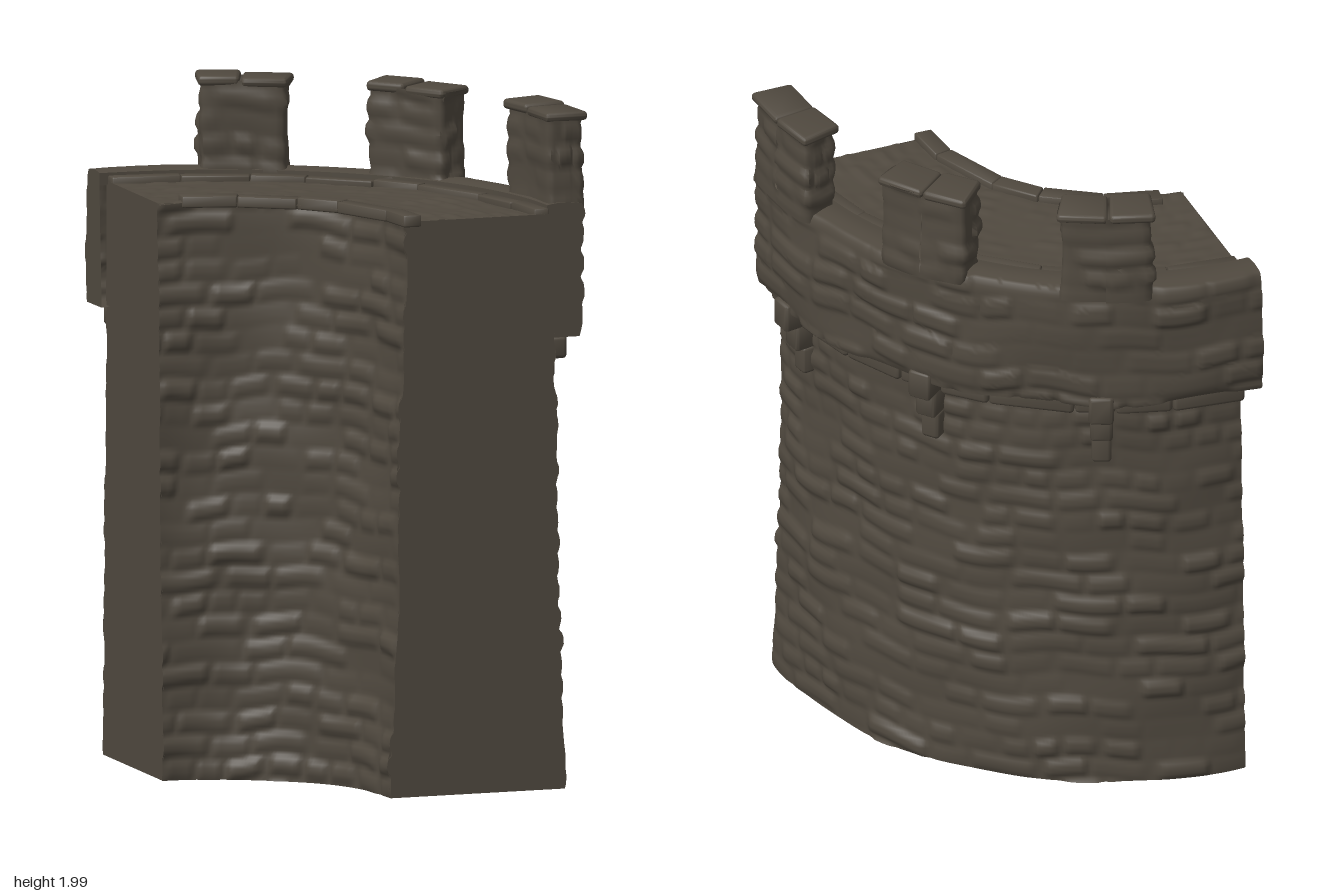
import * as THREE from 'three';
import { mergeGeometries, mergeVertices, toCreasedNormals } from 'three/addons/utils/BufferGeometryUtils.js';
import { RoundedBoxGeometry } from 'three/addons/geometries/RoundedBoxGeometry.js';

// The tower is a quarter ring around this axis; angles run from +x towards -z
const CX = -0.55, CZ = 0.545;
const RAD = Math.PI / 180;
const TOP = 1.7;

const hash = (a, b = 0) => {
  const s = Math.sin(a * 127.1 + b * 311.7) * 43758.5453;
  return s - Math.floor(s);
};
const lerp = THREE.MathUtils.lerp;
const smooth = THREE.MathUtils.smoothstep;

// Soft relief of worn, uneven masonry: s runs along the wall, y across the courses
function masonry(s, y, seed, width = 0.13, height = 0.07) {
  y += 0.01 * Math.sin(s * 9 + seed) + 0.006 * Math.sin(s * 21 + y * 5);
  const row = Math.floor(y / height);
  const w = width * (0.7 + 0.7 * hash(row, seed));
  const t = s / w + hash(row, seed + 3) + 0.15 * Math.sin(s * 17 + row * 2);
  const col = Math.floor(t);
  const dx = Math.min(t - col, 1 - t + col) * w;
  const dy = Math.min(y / height - row, 1 - y / height + row) * height;
  const bulge = smooth(dx, 0, 0.024) * smooth(dy, 0, 0.024);
  const drift = 0.004 * Math.sin(s * 13 + seed + y * 7) + 0.003 * Math.sin(y * 19 - s * 8);
  return bulge * 0.014 * hash(col * 1.7 + seed, row) + drift - 0.003;
}

// Radii of the three stone faces
const outerRadius = (a, y) => lerp(1.04, 1.014, smooth(y, 0, 1.1)) + 0.008 * Math.cos(a) + masonry(a, y, 1);
const innerRadius = (a, y) => lerp(0.516, 0.56, y / TOP) - masonry(a * 0.55, y, 7);
const parapetRadius = (a, y) => 1.102 + 0.008 * Math.cos(a) + masonry(a * 1.1, Math.min(y, 1.69), 13, 0.15, 0.08);

// Curved grid: fn(angle, v) returns [radius, y]
function sweep(a0, a1, nu, nv, fn, flip = false) {
  const pos = [], idx = [];
  for (let j = 0; j <= nv; j++) {
    for (let i = 0; i <= nu; i++) {
      const a = lerp(a0, a1, i / nu) * RAD;
      const [r, y] = fn(a, j / nv);
      pos.push(CX + r * Math.cos(a), y, CZ - r * Math.sin(a));
      if (i < nu && j < nv) {
        const p = j * (nu + 1) + i, q = p + nu + 1;
        if (flip) idx.push(p, q, p + 1, p + 1, q, q + 1);
        else idx.push(p, p + 1, q, p + 1, q + 1, q);
      }
    }
  }
  const g = new THREE.BufferGeometry();
  g.setAttribute('position', new THREE.Float32BufferAttribute(pos, 3));
  g.setIndex(idx);
  g.computeVertexNormals();
  return g;
}

// Flat end face standing on the plane of one angle, from [radius, y] points
function endFace(deg, points) {
  const shape = new THREE.Shape(points.map(([r, y]) => new THREE.Vector2(r, y)));
  return new THREE.ShapeGeometry(shape).rotateY(deg * RAD).translate(CX, 0, CZ);
}

// Rounded stone bent along the ring
function stone(r0, r1, a0, a1, y0, y1, radius = 0.012) {
  const rm = (r0 + r1) / 2, am = (a0 + a1) / 2 * RAD, arc = (a1 - a0) * RAD * rm;
  let g = new RoundedBoxGeometry(r1 - r0, y1 - y0, arc, 2, Math.min(radius, (y1 - y0) * 0.45));
  g.deleteAttribute('uv');
  g.deleteAttribute('normal');
  g = mergeVertices(g);
  const p = g.attributes.position;
  for (let i = 0; i < p.count; i++) {
    const r = rm + p.getX(i), a = am - p.getZ(i) / rm;
    p.setXYZ(i, CX + r * Math.cos(a), (y0 + y1) / 2 + p.getY(i), CZ - r * Math.sin(a));
  }
  return toCreasedNormals(g, 0.7);
}

// Row of stones with uneven lengths and slightly uneven faces
function stoneRow(r0, r1, a0, a1, y0, y1, count, seed, rough = 0.008, radius = 0.012) {
  const cut = i => lerp(a0, a1, (i + (i > 0 && i < count ? (hash(i, seed) - 0.5) * 0.5 : 0)) / count);
  return Array.from({ length: count }, (_, i) => {
    const k = (hash(i, seed + 5) - 0.5) * rough;
    return stone(r0 + k, r1 + k, cut(i) + 0.05, cut(i + 1) - 0.05, y0, y1 + k * 0.5, radius);
  });
}

// Merlon body: closed sweep with soft corners and the same worn relief on every side
function merlonBody(a0, a1, seed) {
  const mid = (a0 + a1) / 2 * RAD, half = (a1 - a0) / 2 * RAD * 1.06;
  const pos = [], idx = [], nu = 56, nv = 20;
  for (let j = 0; j <= nv; j++) {
    for (let i = 0; i <= nu; i++) {
      const t = i / nu * Math.PI * 2, y = lerp(1.7, 1.985, j / nv);
      const c = Math.cos(t), s = Math.sin(t);
      const k = Math.pow(Math.pow(Math.abs(c), 10) + Math.pow(Math.abs(s), 10), -0.1);
      const swell = masonry(i / nu * 0.84, y, seed, 0.14, 0.07);
      const r = 1.061 + c * (k * 0.058 + swell), a = mid + (s * (k * half + swell)) / 1.06;
      pos.push(CX + r * Math.cos(a), y, CZ - r * Math.sin(a));
      if (i < nu && j < nv) {
        const p = j * (nu + 1) + i, q = p + nu + 1;
        idx.push(p, p + 1, q, p + 1, q + 1, q);
      }
    }
  }
  const g = new THREE.BufferGeometry();
  g.setAttribute('position', new THREE.Float32BufferAttribute(pos, 3));
  g.setIndex(idx);
  return toCreasedNormals(g, 0.9);
}

export function createModel() {
  const tower = new THREE.Group();
  tower.name = 'curvedTowerWall';
  const masonryMaterial = new THREE.MeshStandardMaterial({ color: 0x50493f, side: THREE.DoubleSide });
  masonryMaterial.name = 'dark stone';
  const add = (name, geometry) => {
    const mesh = new THREE.Mesh(Array.isArray(geometry) ? mergeGeometries(geometry) : geometry, masonryMaterial);
    mesh.name = name;
    tower.add(mesh);
  };

  // Main walls, open underneath
  add('outerWall', sweep(0, 90, 150, 126, (a, v) => [outerRadius(a, v * 1.35), 0.01 + v * 1.34]));
  add('innerWall', sweep(-0.5, 90.3, 80, 150, (a, v) => [innerRadius(a, v * TOP), 0.01 + v * (TOP - 0.01)], true));

  // Flat ends following the stone edges
  for (const deg of [0, 90]) {
    const points = [];
    for (let i = 0; i <= 60; i++) points.push([outerRadius(deg * RAD, i / 60 * 1.35), 0.01 + i / 60 * 1.34]);
    points.push([1.01, TOP]);
    for (let i = 60; i >= 0; i--) points.push([innerRadius(deg * RAD, i / 60 * TOP), 0.01 + i / 60 * (TOP - 0.01)]);
    add(deg ? 'rightEnd' : 'leftEnd', endFace(deg, points));
  }

  // Paved walkway
  add('walkway', sweep(0, 90, 100, 36, (a, v) => {
    const r = lerp(0.55, 1.01, v);
    return [r, TOP - 0.002 + 0.5 * masonry(a * 0.8, r, 21, 0.09, 0.05)];
  }, true));

  // Overhanging parapet: underside, face, top and inner edge in one sweep
  const y0 = 1.335, y1 = 1.725;
  const parapetPoint = (a, v) => {
    const wave = 0.006 * Math.sin(a * 14);
    if (v < 0.1) return [lerp(0.98, parapetRadius(a, y0) - 0.012, v / 0.1), y0 + wave];
    if (v <= 0.8) {
      const t = (v - 0.1) / 0.7;
      const round = 0.012 * Math.pow(Math.abs(2 * t - 1), 12);
      return [parapetRadius(a, lerp(y0, y1, t)) - round, lerp(y0 + wave, y1, t)];
    }
    if (v < 0.95) {
      const t = (v - 0.8) / 0.15;
      return [lerp(parapetRadius(a, y1) - 0.012, 0.998, t), y1 + 0.006 * Math.sin(t * Math.PI)];
    }
    return [0.998, lerp(y1, TOP - 0.01, (v - 0.95) / 0.05)];
  };
  add('parapet', toCreasedNormals(sweep(0.3, 91.5, 150, 60, parapetPoint), 0.9));
  for (const deg of [0.3, 91.5]) {
    const points = Array.from({ length: 61 }, (_, i) => parapetPoint(deg * RAD, i / 60));
    add(deg < 1 ? 'parapetLeftEnd' : 'parapetRightEnd', endFace(deg, points));
  }

  // Thin edging stones on both sides of the walkway
  add('innerEdging', stoneRow(0.548, 0.602, -1, 83, 1.685, 1.718, 5, 31, 0.01, 0.005));
  add('outerEdging', stoneRow(0.958, 1.003, 0, 90, 1.685, 1.716, 8, 37, 0.01, 0.005));

  // String course under the parapet
  add('stringCourse', stoneRow(0.97, 1.056, 0.2, 89.8, 1.272, 1.335, 9, 41, 0.016));

  // Stepped brackets
  [9, 38, 66.5].forEach((a, i) => add('bracket' + (i + 1), [
    stone(0.98, 1.118, a - 1.9, a + 1.9, 1.275, 1.365),
    stone(0.98, 1.08, a - 1.8, a + 1.8, 1.195, 1.285),
    stone(0.98, 1.053, a - 1.6, a + 1.6, 1.108, 1.2),
  ]));

  // Worn merlons, each with two capping slabs
  [[0.4, 16.4], [30.9, 46], [59.8, 74.6]].forEach(([a0, a1], m) => {
    const mid = (a0 + a1) / 2 + 0.4;
    add('merlon' + (m + 1), merlonBody(a0 + 0.4, a1 - 0.4, 50 + m * 4));
    add('merlonCap' + (m + 1), [
      stone(0.996, 1.126, a0, mid - 0.15, 1.967, 1.994, 0.012),
      stone(0.998, 1.13, mid + 0.15, a1, 1.97, 2.0, 0.012),
    ]);
  });

  return tower;
}
